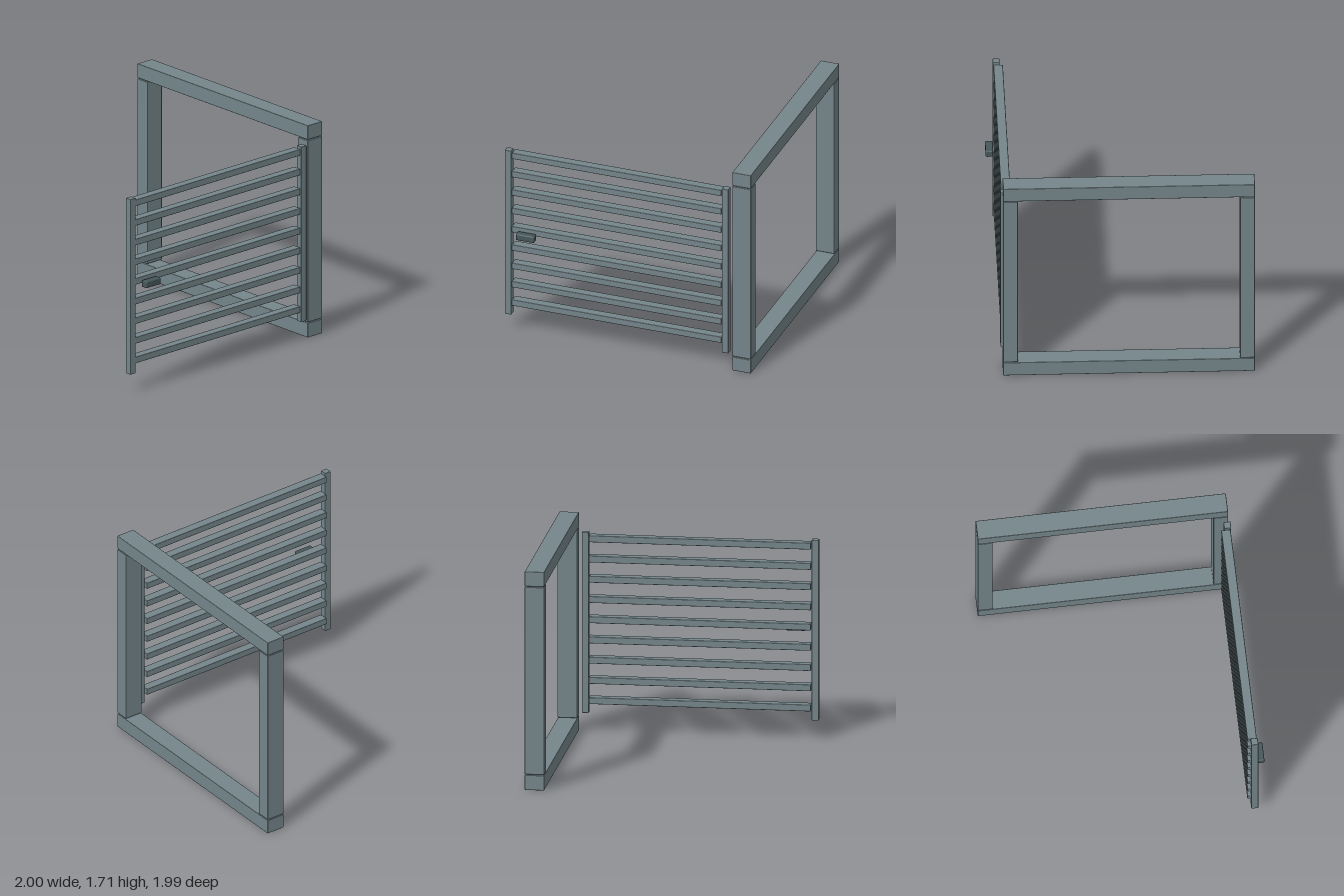
import * as THREE from 'three';
import { RoundedBoxGeometry } from 'three/addons/geometries/RoundedBoxGeometry.js';

export function createModel() {
  const model = new THREE.Group();
  model.name = 'gateWithFrame';

  const metal = new THREE.MeshStandardMaterial({ color: 0x74858a });
  metal.name = 'greyMetal';
  const darkMetal = new THREE.MeshStandardMaterial({ color: 0x46575a });
  darkMetal.name = 'darkMetal';

  // Bar with softened edges, given by its [min, max] range on each axis
  function bar(parent, name, [x0, x1], [y0, y1], [z0, z1], bevel = 0.005, material = metal, segments = 1) {
    const geometry = new RoundedBoxGeometry(x1 - x0, y1 - y0, z1 - z0, segments, bevel);
    const mesh = new THREE.Mesh(geometry, material);
    mesh.name = name;
    mesh.position.set((x0 + x1) / 2, (y0 + y1) / 2, (z0 + z1) / 2);
    parent.add(mesh);
  }

  // Fixed frame: two long beams and two posts, with a narrow gap at each joint
  const frame = new THREE.Group();
  frame.name = 'frame';
  model.add(frame);
  const frameX = [0.847, 0.998];
  bar(frame, 'bottomBeam', frameX, [0, 0.117], [-0.997, 0.92]);
  bar(frame, 'topBeam', frameX, [1.597, 1.712], [-0.997, 0.92]);
  bar(frame, 'frontPost', frameX, [0.123, 1.591], [0.808, 0.92]);
  bar(frame, 'backPost', frameX, [0.123, 1.591], [-0.997, -0.883]);

  // Open gate: two stiles and nine slats
  const gate = new THREE.Group();
  gate.name = 'gate';
  model.add(gate);
  bar(gate, 'outerStile', [-0.998, -0.944], [0.147, 1.563], [0.881, 0.935]);
  bar(gate, 'hingeStile', [0.767, 0.821], [0.147, 1.563], [0.881, 0.935]);
  for (let i = 0; i < 9; i++) {
    const y = 0.25 + i * 0.1586;
    bar(gate, 'slat', [-0.941, 0.763], [y - 0.026, y + 0.026], [0.857, 0.929]);
  }

  // Handle block on the front of the gate
  bar(gate, 'handle', [-0.887, -0.737], [0.833, 0.887], [0.938, 0.995], 0.01, darkMetal, 3);

  return model;
}
